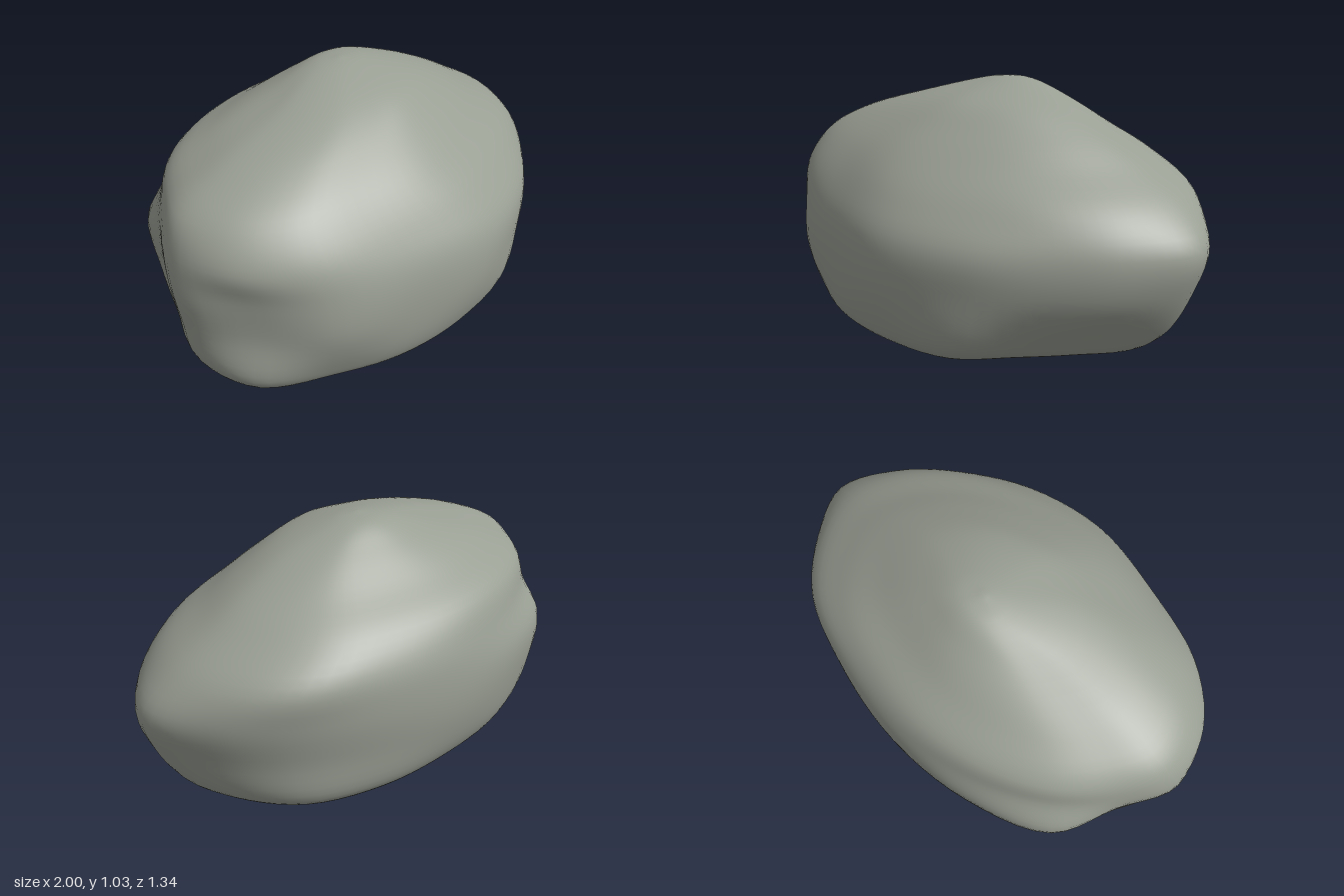
import * as THREE from 'three';
import { mergeVertices } from 'three/addons/utils/BufferGeometryUtils.js';

// How far each cross-section bulges from an ellipse, every 22.5 degrees from +x towards +z
const LOW = [1, 0.89, 0.89, 1.02, 1, 0.97, 0.95, 1.02, 1, 0.96, 1.03, 1.02, 0.99, 1.01, 1.03, 1];
const MID = [1, 0.94, 0.92, 0.97, 1, 0.96, 0.98, 0.96, 1, 0.95, 1.05, 1.03, 1, 0.97, 0.96, 0.96];
const HIGH = [1, 0.97, 0.96, 0.97, 1, 0.97, 1.02, 1.02, 1, 0.94, 0.96, 0.98, 1, 1, 1.03, 1];
const CAP = Array(16).fill(1);

// Cross-sections from the flat base to the peak: height, x range, z range, bulge
const LEVELS = [
  [0, -0.02, -0.02, 0, 0, CAP],
  [0, -0.4, 0.35, -0.25, 0.26, LOW],
  [0.003, -0.72, 0.6, -0.43, 0.46, LOW],
  [0.04, -0.88, 0.75, -0.55, 0.58, LOW],
  [0.12, -0.95, 0.85, -0.615, 0.625, LOW],
  [0.3, -0.98, 0.955, -0.66, 0.665, MID],
  [0.48, -1, 1, -0.67, 0.65, MID],
  [0.62, -0.98, 0.89, -0.65, 0.565, HIGH],
  [0.75, -0.91, 0.69, -0.585, 0.45, HIGH],
  [0.85, -0.72, 0.52, -0.445, 0.335, HIGH],
  [0.95, -0.38, 0.32, -0.31, 0.19, HIGH],
  [1.02, -0.11, 0.12, -0.2, -0.02, CAP],
  [1.035, 0, 0, -0.1, -0.1, CAP],
];

function sectionPoint([y, x0, x1, z0, z1, bulge], k) {
  const angle = (k * Math.PI) / 8;
  return new THREE.Vector3(
    (x0 + x1) / 2 + ((x1 - x0) / 2) * bulge[k] * Math.cos(angle),
    y,
    (z0 + z1) / 2 + ((z1 - z0) / 2) * bulge[k] * Math.sin(angle)
  );
}

// Smooth skin through the cross-sections, first upwards and then around
function boulderGeometry(rows, columns) {
  const ribs = CAP.map((_, k) =>
    new THREE.CatmullRomCurve3(LEVELS.map((level) => sectionPoint(level, k))));
  const positions = [];
  const indices = [];
  for (let i = 0; i <= rows; i++) {
    const ring = new THREE.CatmullRomCurve3(ribs.map((rib) => rib.getPoint(i / rows)), true);
    for (let j = 0; j < columns; j++) {
      const p = ring.getPoint(j / columns);
      positions.push(p.x, Math.max(0, p.y), p.z);
      if (i === rows) continue;
      const a = i * columns + j;
      const b = i * columns + ((j + 1) % columns);
      if (i < rows - 1) indices.push(a, a + columns, b + columns);
      if (i > 0) indices.push(a, b + columns, b);
    }
  }
  let geometry = new THREE.BufferGeometry();
  geometry.setAttribute('position', new THREE.Float32BufferAttribute(positions, 3));
  geometry.setIndex(indices);
  geometry = mergeVertices(geometry);
  geometry.computeVertexNormals();
  return geometry;
}

export function createModel() {
  const group = new THREE.Group();
  group.name = 'rock';
  const stone = new THREE.MeshStandardMaterial({ color: 0x9a9f94 });
  stone.name = 'grey stone';
  const boulder = new THREE.Mesh(boulderGeometry(60, 80), stone);
  boulder.name = 'boulder';
  group.add(boulder);
  return group;
}
